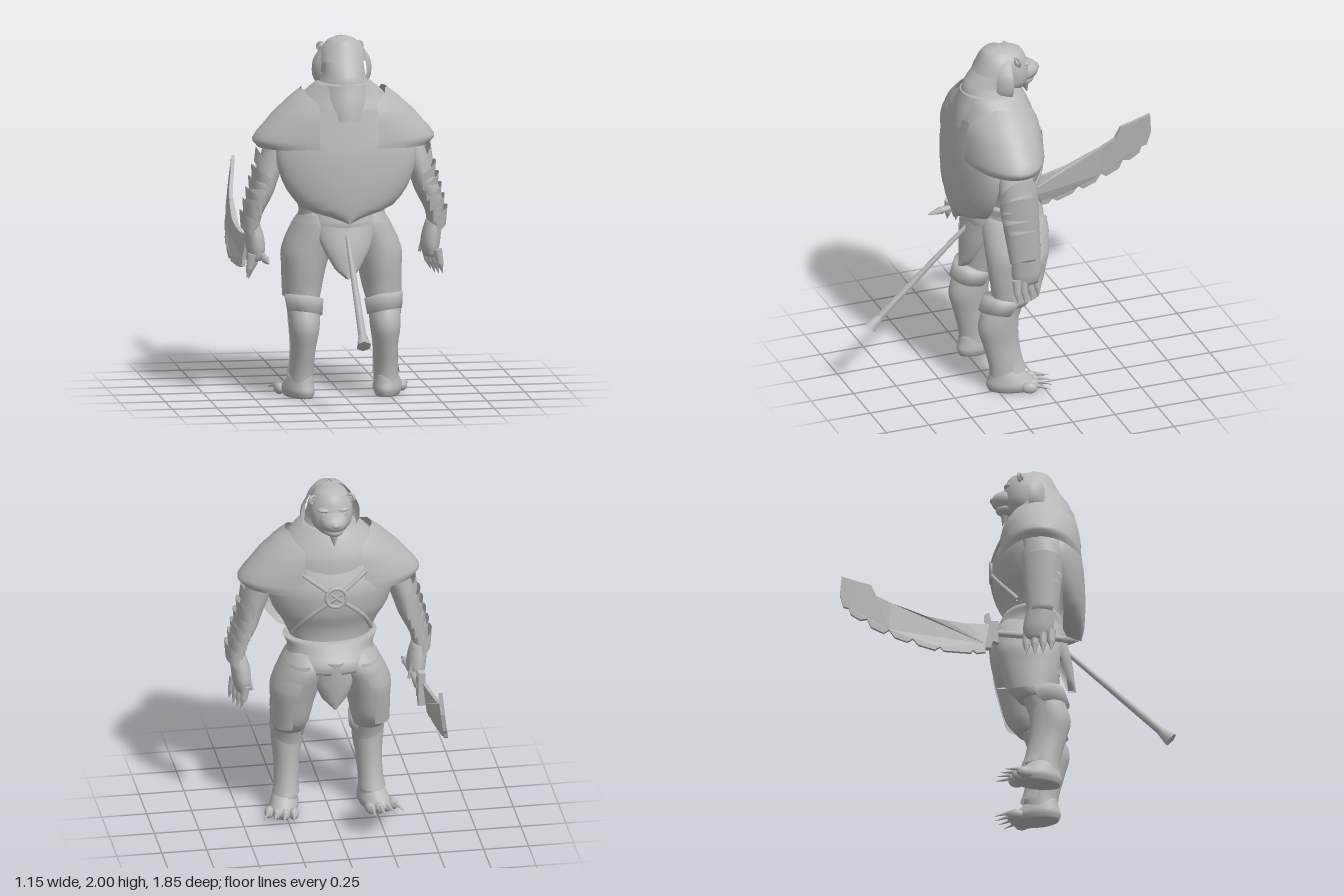
import * as THREE from 'three';

const PI = Math.PI;
const rad = (d) => d * PI / 180;

// Skin through horizontal ellipses [y, x, z, rx, rz, span], from low to high.
// from/to (degrees) cut an open shell: 0 is +x, 90 is +z. A ring's span sets its own -span..span cut.
// tilt raises the rim outwards.
function loft(rings, { from = 0, to = 360, steps = 3, sides = 24, tilt = 0 } = {}) {
  const mid = new THREE.CatmullRomCurve3(rings.map((r) => new THREE.Vector3(r[1], r[0], r[2])), false, 'centripetal');
  const size = new THREE.CatmullRomCurve3(rings.map((r) => new THREE.Vector3(r[3], r[5] || 0, r[4])), false, 'catmullrom', 0.4);
  const spanned = rings[0].length > 5;
  const closed = !spanned && to - from === 360, cols = closed ? sides : sides + 1;
  const rows = (rings.length - 1) * steps, pos = [], index = [];
  for (let i = 0; i <= rows; i++) {
    const c = mid.getPoint(i / rows), r = size.getPoint(i / rows);
    const a0 = spanned ? -r.y : from, a1 = spanned ? r.y : to;
    for (let j = 0; j < cols; j++) {
      const a = rad(a0 + (a1 - a0) * j / sides);
      pos.push(c.x + r.x * Math.cos(a), c.y + tilt * r.x * Math.cos(a), c.z + r.z * Math.sin(a));
    }
  }
  for (let i = 0; i < rows; i++) for (let j = 0; j < sides; j++) {
    const a = i * cols + j, b = i * cols + (j + 1) % cols;
    index.push(a, a + cols, b, b, a + cols, b + cols);
  }
  if (closed) {
    for (const i of [0, rows]) {
      const c = mid.getPoint(i / rows), k = pos.length / 3;
      pos.push(c.x, c.y, c.z);
      for (let j = 0; j < sides; j++) {
        const a = i * cols + j, b = i * cols + (j + 1) % cols;
        if (i) index.push(k, b, a); else index.push(k, a, b);
      }
    }
  }
  const g = new THREE.BufferGeometry();
  g.setAttribute('position', new THREE.Float32BufferAttribute(pos, 3));
  g.setIndex(index);
  g.computeVertexNormals();
  return g;
}

// Tapered rod between two points
function rod(a, b, ra, rb, sides = 8) {
  const p = new THREE.Vector3(...a), d = new THREE.Vector3(...b).sub(p);
  const g = new THREE.CylinderGeometry(rb, ra, d.length(), sides);
  g.applyQuaternion(new THREE.Quaternion().setFromUnitVectors(new THREE.Vector3(0, 1, 0), d.clone().normalize()));
  return g.translate(p.x + d.x / 2, p.y + d.y / 2, p.z + d.z / 2);
}

const ball = (x, y, z, rx, ry, rz) => new THREE.SphereGeometry(1, 20, 14).scale(rx, ry, rz).translate(x, y, z);

function mirrored(geo) {
  const g = geo.clone().scale(-1, 1, 1), ix = g.index.array;
  for (let i = 0; i < ix.length; i += 3) [ix[i], ix[i + 1]] = [ix[i + 1], ix[i]];
  return g;
}

export function createModel() {
  const model = new THREE.Group();
  const grey = new THREE.MeshStandardMaterial({ color: 0xb8b8b8, side: THREE.DoubleSide });
  grey.name = 'stone grey';
  const add = (name, geo) => {
    const m = new THREE.Mesh(geo, grey);
    m.name = name;
    model.add(m);
  };
  const pair = (name, geo) => { add(name + 'Left', geo); add(name + 'Right', mirrored(geo)); };

  // Torso and neck
  add('torso', loft([
    [0.82, 0, 0.13, 0.08, 0.1], [0.93, 0, 0.13, 0.22, 0.18], [1.08, 0, 0.14, 0.22, 0.155], [1.18, 0, 0.14, 0.26, 0.165],
    [1.28, 0, 0.14, 0.32, 0.205], [1.42, 0, 0.15, 0.36, 0.23], [1.55, 0, 0.175, 0.34, 0.21], [1.66, 0, 0.18, 0.24, 0.18],
    [1.74, 0, 0.19, 0.15, 0.15]], { sides: 32 }));
  add('neck', loft([[1.68, 0, 0.19, 0.18, 0.18], [1.75, 0, 0.195, 0.14, 0.168], [1.8, 0, 0.195, 0.118, 0.155], [1.88, 0, 0.17, 0.108, 0.12],
    [1.96, 0, 0.16, 0.07, 0.08]]));

  // Head
  add('skull', loft([[1.73, 0, 0.1, 0.065, 0.085], [1.79, 0, 0.085, 0.108, 0.102], [1.86, 0, 0.09, 0.118, 0.11], [1.92, 0, 0.11, 0.11, 0.115],
    [1.965, 0, 0.12, 0.082, 0.1], [1.992, 0, 0.13, 0.035, 0.05]], { sides: 28 }));
  add('muzzle', ball(0, 1.828, 0.015, 0.08, 0.062, 0.098));
  add('jaw', ball(0, 1.775, 0.03, 0.06, 0.04, 0.088));
  add('nose', ball(0, 1.834, -0.076, 0.024, 0.016, 0.014));
  add('chinTuft', rod([0, 1.77, 0], [0, 1.685, -0.02], 0.035, 0.002));
  pair('brow', ball(0.05, 1.895, 0.012, 0.038, 0.014, 0.026));
  pair('eye', ball(0.056, 1.87, 0.006, 0.014, 0.008, 0.012));
  pair('ear', new THREE.TorusGeometry(0.021, 0.009, 8, 16).rotateY(0.5).translate(0.105, 1.93, 0.075));
  pair('innerEar', ball(0.102, 1.93, 0.085, 0.021, 0.021, 0.01));

  // Hair: a flap behind each cheek and a cap with a raised rear edge
  pair('sideHair', loft([[1.71, 0, 0.13, 0.125, 0.12], [1.78, 0, 0.13, 0.162, 0.12], [1.86, 0, 0.13, 0.16, 0.12], [1.94, 0, 0.13, 0.115, 0.11]],
    { from: -5, to: 40, sides: 10 }));
  add('hairCap', loft([[1.87, 0, 0.17, 0.13, 0.125], [1.93, 0, 0.16, 0.115, 0.105], [1.98, 0, 0.15, 0.075, 0.085], [2.0, 0, 0.14, 0.02, 0.03]],
    { from: -5, to: 185 }));

  // Shoulder mantle and armour
  add('mantle', loft([[1.46, 0, 0.18, 0.3, 0.23], [1.6, 0, 0.18, 0.3, 0.215], [1.7, 0, 0.185, 0.215, 0.182], [1.76, 0, 0.2, 0.145, 0.165]],
    { sides: 32 }));
  add('collar', loft([[1.56, 0, 0.19, 0.16, 0.222], [1.64, 0, 0.19, 0.175, 0.21], [1.75, 0, 0.2, 0.15, 0.172]], { from: 20, to: 160 }));
  pair('shoulderGuard', loft([[1.4, 0, 0.185, 0.475, 0.24, 70], [1.45, 0, 0.185, 0.505, 0.237, 71], [1.58, 0, 0.185, 0.4, 0.23, 66],
    [1.66, 0, 0.185, 0.315, 0.205, 58], [1.72, 0, 0.185, 0.24, 0.16, 22]]));
  add('backShell', loft([[0.99, 0, 0.31, 0.01, 0.105], [1.08, 0, 0.31, 0.255, 0.12], [1.23, 0, 0.3, 0.36, 0.135],
    [1.4, 0, 0.28, 0.39, 0.145], [1.62, 0, 0.25, 0.3, 0.14]], { from: 0, to: 180 }));

  // Chest straps, nearly flush, and buckle ring
  const strap = new THREE.CatmullRomCurve3([[0.27, 1.58, 0.045], [0.14, 1.5, -0.04], [0, 1.4, -0.08], [-0.15, 1.27, -0.04], [-0.22, 1.14, 0.06]]
    .map((p) => new THREE.Vector3(...p)));
  pair('chestStrap', new THREE.TubeGeometry(strap, 20, 0.013, 6));
  add('buckleRing', new THREE.TorusGeometry(0.055, 0.012, 10, 28).translate(0, 1.4, -0.082));
  add('buckleDisc', new THREE.CylinderGeometry(0.052, 0.052, 0.02, 28).rotateX(PI / 2).translate(0, 1.4, -0.077));

  // Belt and hanging cloth
  add('belt', loft([[0.93, 0, 0.12, 0.25, 0.213], [0.98, 0, 0.12, 0.245, 0.217], [1.04, 0, 0.13, 0.238, 0.19], [1.1, 0, 0.14, 0.262, 0.165]],
    { sides: 32 }));
  add('frontCloth', loft([[0.7, 0, 0, 0.01, 0.055], [0.76, 0, 0, 0.07, 0.07], [0.87, 0, 0, 0.108, 0.09], [1.0, 0, 0, 0.085, 0.1]],
    { from: 180, to: 360, steps: 2 }));
  add('rearCloth', loft([[0.68, 0, 0.34, 0.015, 0.045], [0.73, 0, 0.33, 0.07, 0.047], [0.86, 0, 0.29, 0.14, 0.07], [0.98, 0, 0.23, 0.185, 0.1],
    [1.06, 0, 0.21, 0.19, 0.1]], { from: 0, to: 180 }));

  // Tail with flared tip
  add('tail', rod([0, 0.95, 0.3], [0, 0.45, 0.845], 0.013, 0.023, 6));
  add('tailTip', rod([0, 0.45, 0.845], [0, 0.395, 0.905], 0.023, 0.042, 6));

  // Legs
  pair('thigh', loft([[0.52, 0.222, 0.165, 0.088, 0.1], [0.6, 0.218, 0.135, 0.104, 0.135], [0.72, 0.208, 0.125, 0.12, 0.16],
    [0.83, 0.19, 0.115, 0.138, 0.178], [0.95, 0.145, 0.11, 0.13, 0.19], [1.04, 0.12, 0.13, 0.1, 0.15]]));
  pair('thighCloth', loft([[0.57, 0.23, 0.135, 0.1, 0.135], [0.72, 0.22, 0.125, 0.112, 0.165], [0.83, 0.195, 0.115, 0.137, 0.183],
    [0.98, 0.14, 0.115, 0.125, 0.19]], { from: -90, to: 80, tilt: -0.1 }));
  pair('shin', loft([[0.05, 0.235, 0.2, 0.066, 0.088], [0.14, 0.235, 0.195, 0.066, 0.095], [0.28, 0.228, 0.225, 0.068, 0.1],
    [0.4, 0.225, 0.24, 0.084, 0.112], [0.52, 0.225, 0.2, 0.088, 0.11], [0.6, 0.225, 0.15, 0.08, 0.1]]));
  pair('greave', loft([[0.12, 0.24, 0.19, 0.078, 0.11], [0.18, 0.235, 0.2, 0.071, 0.1], [0.3, 0.23, 0.225, 0.074, 0.104],
    [0.48, 0.227, 0.235, 0.092, 0.112]], { from: -170, to: -10 }));
  pair('kneeBand', loft([[0, 0, 0, 0.096, 0.108], [0.09, 0, -0.015, 0.108, 0.114]], { steps: 1, tilt: 0.15 })
    .rotateX(-0.22).translate(0.222, 0.475, 0.24));

  // Feet, splayed outward, with toes and claws
  const place = (g) => g.rotateY(-0.28).translate(0.24, 0, 0.2);
  pair('foot', place(loft([[0.003, 0, -0.03, 0.066, 0.125], [0.04, 0, -0.035, 0.08, 0.142], [0.08, 0, -0.02, 0.073, 0.115], [0.13, 0, 0.005, 0.06, 0.08]])));
  for (let i = 0; i < 4; i++) {
    const x = -0.068 + i * 0.046, z = -0.15 + Math.abs(i - 1.3) * 0.012;
    pair('toe' + i, place(ball(x, 0.035, z, 0.026, 0.032, 0.045)));
    pair('toeClaw' + i, place(rod([x, 0.05, z - 0.03], [x * 1.25, 0.03, z - 0.115], 0.013, 0.001, 6)));
  }

  // Arms and hands
  pair('arm', loft([[0.93, 0.51, 0.18, 0.042, 0.065], [1.02, 0.505, 0.19, 0.05, 0.078], [1.14, 0.465, 0.2, 0.07, 0.1],
    [1.25, 0.425, 0.2, 0.068, 0.098], [1.4, 0.37, 0.19, 0.075, 0.1], [1.55, 0.31, 0.18, 0.08, 0.1]]));
  pair('palm', loft([[0.77, 0.485, 0.17, 0.035, 0.07], [0.83, 0.485, 0.17, 0.052, 0.085], [0.9, 0.493, 0.175, 0.052, 0.08], [0.98, 0.51, 0.18, 0.045, 0.062]]));
  for (let i = 0; i < 4; i++) {
    const z = 0.105 + i * 0.045, x = 0.47 + i * 0.015;
    pair('finger' + i, rod([x, 0.81, z], [x + 0.015, 0.73, z], 0.026, 0.02));
    pair('claw' + i, rod([x + 0.015, 0.735, z], [x + 0.03, 0.66 + Math.abs(i - 1.5) * 0.012, z], 0.02, 0.001));
  }
  pair('thumb', rod([0.475, 0.88, 0.13], [0.435, 0.78, 0.11], 0.028, 0.008));

  // Overlapping forearm plates, rims raised on the outer side, the top one steepest
  for (let i = 0; i < 5; i++) {
    const y = 0.96 + i * 0.06, x = 0.515 - i * 0.02, r = 0.05 + i * 0.004;
    pair('forearmPlate' + i, loft([[y - 0.045, x + 0.004, 0.19, r, 0.085 + i * 0.005], [y + 0.05, x, 0.195, r + 0.012, 0.096 + i * 0.004]],
      { from: -100, to: 100, steps: 1, sides: 14, tilt: 0.7 }));
  }
  pair('elbowPlate', loft([[1.2, 0.425, 0.19, 0.07, 0.108], [1.28, 0.415, 0.185, 0.07, 0.11]], { from: -85, to: 85, steps: 1, sides: 14, tilt: 1.7 }));

  // Curved sword: outline in (forward, up), bent sideways along its length
  const outline = [[0.1, 0.86], [0.22, 0.855], [0.34, 0.87], [0.45, 0.895], [0.55, 0.94], [0.64, 0.98], [0.72, 1.03], [0.75, 1.1], [0.83, 1.13],
    [0.91, 1.165], [0.92, 1.05], [0.9, 0.97], [0.87, 0.96], [0.86, 0.92], [0.81, 0.88], [0.77, 0.885], [0.75, 0.83], [0.68, 0.79], [0.65, 0.81],
    [0.62, 0.76], [0.55, 0.73], [0.52, 0.75], [0.49, 0.71], [0.4, 0.68], [0.37, 0.7], [0.35, 0.675], [0.2, 0.67], [0.19, 0.69], [0.17, 0.67],
    [0.12, 0.68], [0.12, 0.73]];
  const blade = new THREE.ExtrudeGeometry(new THREE.Shape(outline.map((p) => new THREE.Vector2(...p))), { depth: 0.02, bevelEnabled: false });
  blade.rotateY(PI / 2);
  const p = blade.attributes.position;
  for (let i = 0; i < p.count; i++) {
    p.setX(i, p.getX(i) - 0.485 - 0.045 * Math.sin(PI * -p.getZ(i) / 0.95) + (p.getY(i) - 0.8) * 0.12);
  }
  blade.computeVertexNormals();
  add('swordBlade', blade);
  const guard = [[0.05, 0.88], [0.09, 0.88], [0.1, 0.93], [0.125, 0.92], [0.12, 0.72], [0.09, 0.72], [0.08, 0.76], [0.05, 0.75]];
  add('swordGuard', new THREE.ExtrudeGeometry(new THREE.Shape(guard.map((q) => new THREE.Vector2(...q))), { depth: 0.04, bevelEnabled: false })
    .rotateY(PI / 2).translate(-0.49, 0, 0));
  add('swordGrip', rod([-0.465, 0.82, -0.08], [-0.45, 0.79, 0.32], 0.02, 0.018));
  add('swordPommel', rod([-0.45, 0.79, 0.31], [-0.445, 0.78, 0.39], 0.024, 0.004, 6));
  return model;
}
